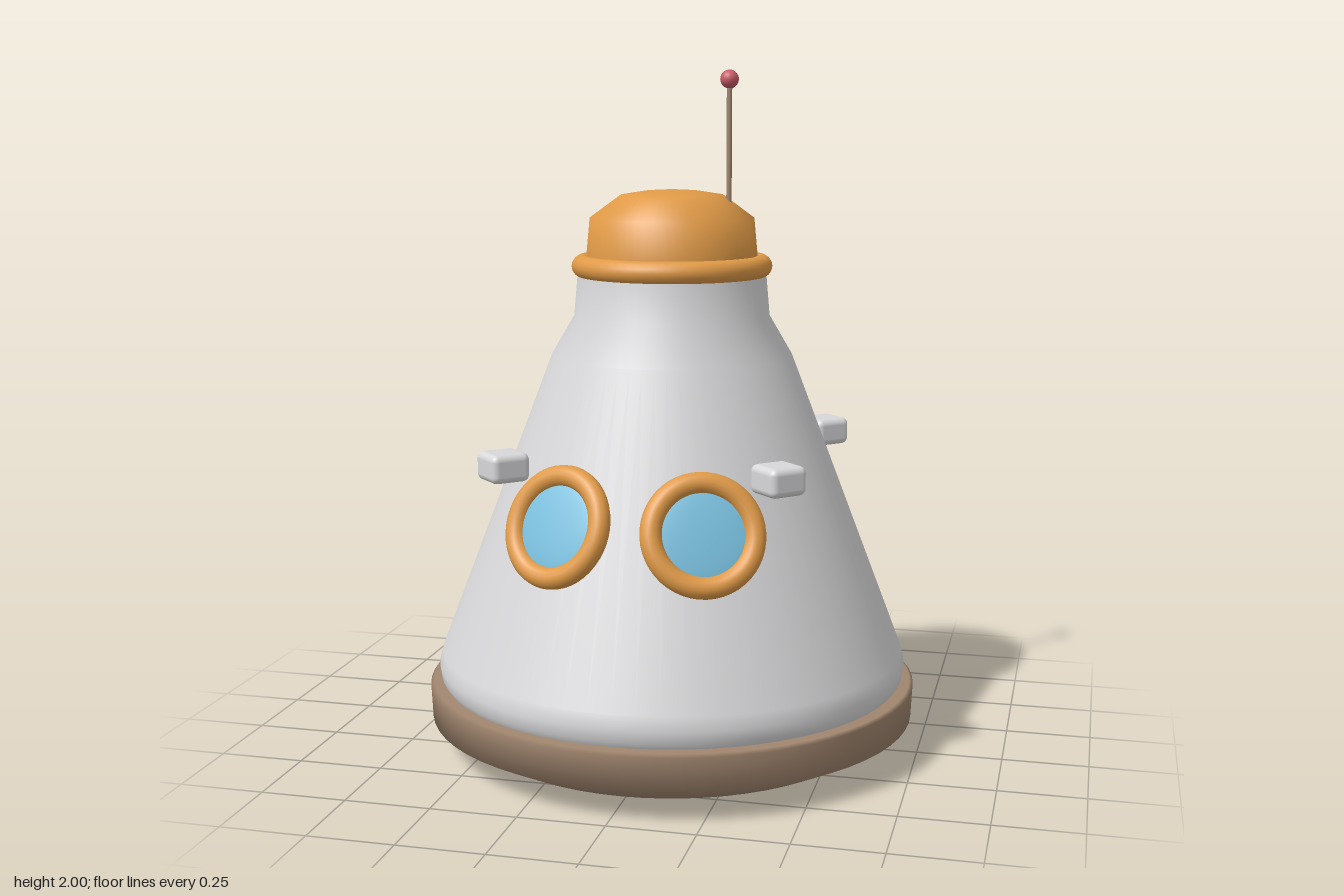
import * as THREE from 'three';
import { RoundedBoxGeometry } from 'three/addons/geometries/RoundedBoxGeometry.js';

const mat = (name, color) => {
  const m = new THREE.MeshStandardMaterial({ color });
  m.name = name;
  return m;
};

export function createModel() {
  const model = new THREE.Group();
  model.name = 'spaceCapsule';

  const white = mat('hullWhite', 0xd8d8da);
  const orange = mat('trimOrange', 0xe09a47);
  const brown = mat('shieldBrown', 0xa1866f);
  const blue = mat('glassBlue', 0x78bfde);
  const red = mat('beaconRed', 0xc95b69);

  const add = (name, geometry, material, parent = model) => {
    const mesh = new THREE.Mesh(geometry, material);
    mesh.name = name;
    parent.add(mesh);
    return mesh;
  };
  const lathe = (points) =>
    new THREE.LatheGeometry(points.map(([r, y]) => new THREE.Vector2(r, y)), 64);

  // Heat shield with a shallow bowl underneath
  add('heatShield', lathe([
    [0, 0], [0.3, 0.01], [0.6, 0.025], [0.725, 0.09], [0.73, 0.19], [0.72, 0.198], [0.6, 0.198],
  ]), brown);

  // Conical hull with a narrow neck
  add('hull', lathe([
    [0.685, 0.195], [0.697, 0.215], [0.702, 0.25], [0.692, 0.29], [0.355, 1.175], [0.288, 1.29], [0.275, 1.44],
  ]), white);

  // Nose collar and cap
  const collar = add('noseCollar', new THREE.TorusGeometry(0.262, 0.033, 16, 64), orange);
  collar.rotation.x = Math.PI / 2;
  collar.position.y = 1.435;
  add('noseCap', lathe([
    [0.255, 1.43], [0.251, 1.47], [0.241, 1.575], [0.15, 1.642], [0.08, 1.653], [0, 1.658],
  ]), orange);

  // Antenna with a beacon ball
  const antenna = new THREE.Group();
  antenna.name = 'antenna';
  antenna.position.x = 0.17;
  model.add(antenna);
  add('antennaMast', new THREE.CylinderGeometry(0.008, 0.008, 0.35, 12), brown, antenna).position.y = 1.795;
  add('antennaBeacon', new THREE.SphereGeometry(0.027, 20, 14), red, antenna).position.y = 1.973;

  // Two round portholes lying on the slope of the hull
  const frameGeometry = new THREE.TorusGeometry(0.144, 0.031, 16, 48);
  const glassGeometry = new THREE.SphereGeometry(0.14, 40, 12, 0, Math.PI * 2, 0, Math.PI / 2);
  glassGeometry.rotateX(Math.PI / 2).scale(1, 1, 0.12);
  for (const side of [-1, 1]) {
    const porthole = new THREE.Group();
    porthole.name = side > 0 ? 'leftPorthole' : 'rightPorthole';
    porthole.position.set(side * 0.207, 0.748, 0.491);
    porthole.rotation.set(-0.37, side * 0.4, 0, 'YXZ');
    add('portholeFrame', frameGeometry, orange, porthole);
    add('portholeGlass', glassGeometry, blue, porthole);
    model.add(porthole);
  }

  // Four thruster blocks around the hull
  const thrusterGeometry = new RoundedBoxGeometry(0.118, 0.082, 0.118, 4, 0.02);
  for (const x of [-1, 1]) {
    for (const z of [-1, 1]) {
      const thruster = add('thruster', thrusterGeometry, white);
      thruster.position.set(x * 0.395, 0.892, z * 0.395);
      thruster.rotation.y = Math.PI / 4;
    }
  }

  return model;
}
